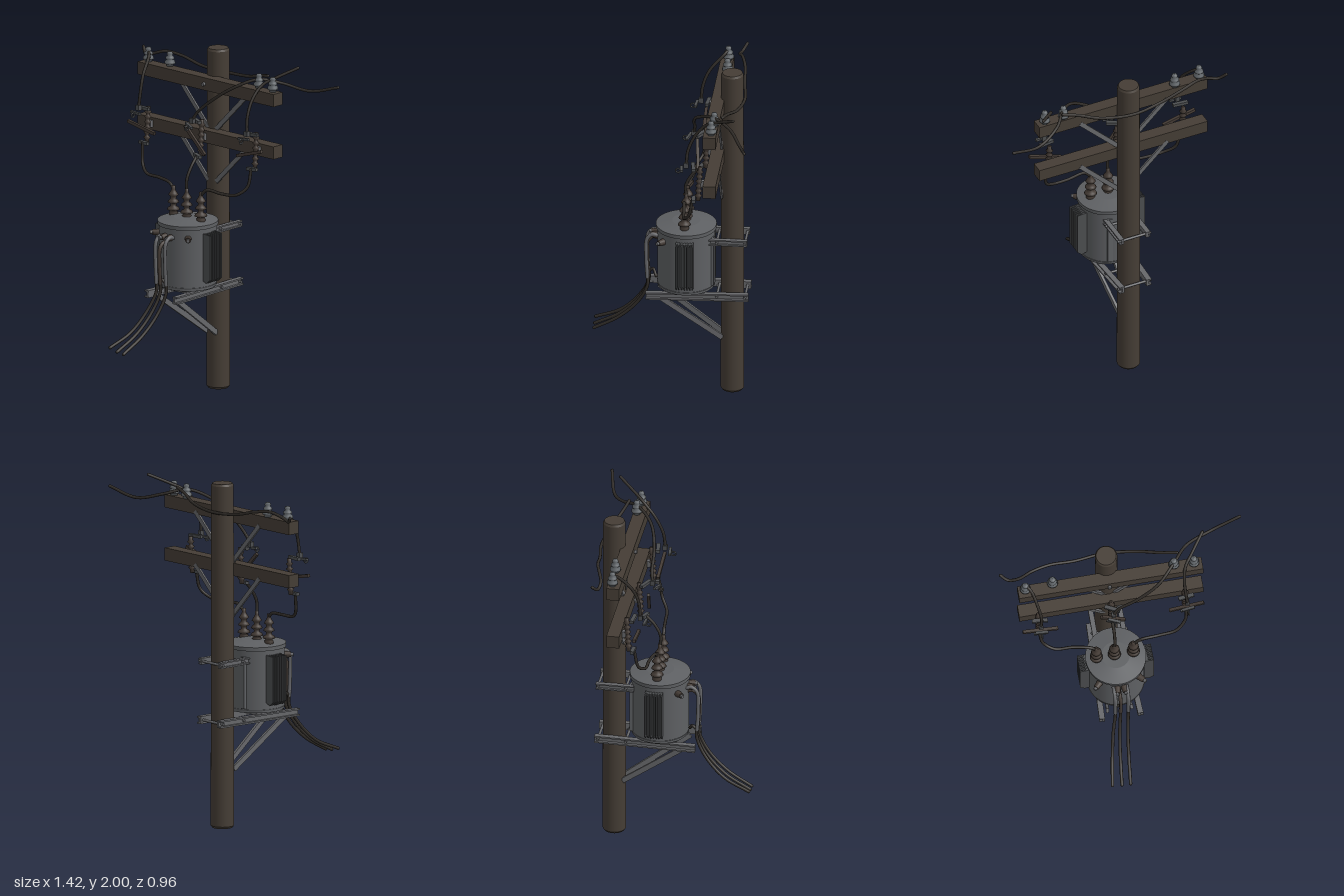
import * as THREE from 'three';

const mat = (name, color, side = THREE.FrontSide) => {
  const m = new THREE.MeshStandardMaterial({ color, side });
  m.name = name;
  return m;
};
const V = (p) => new THREE.Vector3(...p);

export function createModel() {
  const wood = mat('weathered wood', 0x453d35);
  const steel = mat('galvanised steel', 0x66676a);
  const tankGrey = mat('tank grey', 0x5e6063);
  const finGrey = mat('fin grey', 0x4c4e50);
  const porcelain = mat('grey porcelain', 0x62676b);
  const brown = mat('brown porcelain', 0x443b35);
  const cable = mat('cable', 0x302c28, THREE.DoubleSide);

  const root = new THREE.Group();
  root.name = 'utilityPole';
  const group = (name, x = 0, y = 0, z = 0, parent = root) => {
    const g = new THREE.Group();
    g.name = name;
    g.position.set(x, y, z);
    parent.add(g);
    return g;
  };
  const add = (name, geo, m, x = 0, y = 0, z = 0, parent = root) => {
    const mesh = new THREE.Mesh(geo, m);
    mesh.name = name;
    mesh.position.set(x, y, z);
    parent.add(mesh);
    return mesh;
  };
  const box = (name, w, h, d, m, x, y, z, parent) =>
    add(name, new THREE.BoxGeometry(w, h, d), m, x, y, z, parent);
  const cyl = (name, r1, r2, h, m, x, y, z, parent, seg = 16) =>
    add(name, new THREE.CylinderGeometry(r1, r2, h, seg), m, x, y, z, parent);
  const lathe = (name, pts, m, x, y, z, parent, seg = 20) =>
    add(name, new THREE.LatheGeometry(pts.map(p => new THREE.Vector2(...p)), seg), m, x, y, z, parent);
  // straight member between two points
  const bar = (name, a, b, w, h, m, parent = root) => {
    const A = V(a), B = V(b);
    const mesh = add(name, new THREE.BoxGeometry(w, h, A.distanceTo(B)), m, 0, 0, 0, parent);
    mesh.position.copy(A).add(B).multiplyScalar(0.5);
    mesh.lookAt(B);
    return mesh;
  };
  const wire = (name, pts, r = 0.007, m = cable, parent = root) => {
    const c = new THREE.CatmullRomCurve3(pts.map(V));
    add(name, new THREE.TubeGeometry(c, pts.length * 7, r, 8), m, 0, 0, 0, parent);
    for (const p of [pts[0], pts[pts.length - 1]])
      add(name + 'End', new THREE.SphereGeometry(r, 8, 6), m, ...p, parent);
  };

  const px = -0.095, pz = -0.325;

  // pole with chamfered ends
  cyl('pole', 0.064, 0.067, 1.97, wood, px, 0.9975, pz, root, 32);
  cyl('poleTop', 0.057, 0.064, 0.0125, wood, px, 1.98875 , pz, root, 32);
  cyl('poleFoot', 0.067, 0.058, 0.0125, wood, px, 0.00625, pz, root, 32);

  // crossarms, bolts and diagonal braces
  for (const y of [1.802, 1.494]) {
    box('crossarm', 1.06, 0.074, 0.074, wood, -0.085, y, -0.246);
    const bolt = cyl('crossarmBolt', 0.012, 0.012, 0.02, steel, px, y, -0.204, root, 6);
    bolt.rotation.x = Math.PI / 2;
    for (const s of [-1, 1])
      bar('crossarmBrace', [-0.087 + s * 0.275, y - 0.02, -0.279], [-0.087 + s * 0.03, y - 0.27, -0.268], 0.012, 0.026, steel);
  }

  // pin insulators on the upper arm
  for (const [x, z] of [[-0.573, -0.255], [-0.415, -0.265], [0.284, -0.26], [0.398, -0.253]]) {
    lathe('pinInsulator', [[0, 0], [0.02, 0], [0.02, 0.012], [0.031, 0.016], [0.03, 0.028], [0.019, 0.04],
      [0.026, 0.044], [0.024, 0.054], [0.014, 0.062], [0.018, 0.072], [0.013, 0.083], [0, 0.085]],
      porcelain, x, 1.838, z);
  }

  // fused cutouts on the lower arm
  for (const x of [-0.508, -0.09, 0.335]) {
    const c = group('fuseCutout', x, 0, 0);
    box('mountBracket', 0.026, 0.04, 0.035, steel, 0, 1.495, -0.205, c);
    const pts = [[0, 0], [0.013, 0]];
    for (let i = 0; i < 6; i++) {
      const y = 0.02 + i * 0.03;
      pts.push([0.012, y], [0.021, y + 0.01], [0.012, y + 0.018]);
    }
    pts.push([0.013, 0.21], [0, 0.21]);
    const ins = lathe('cutoutInsulator', pts, brown, 0, 1.39, -0.172, c, 12);
    ins.rotation.x = -0.06;
    bar('upperArm', [0, 1.595, -0.19], [0, 1.6, -0.1], 0.022, 0.018, finGrey, c);
    bar('lowerArm', [0, 1.4, -0.18], [0, 1.385, -0.115], 0.022, 0.018, finGrey, c);
    bar('fuseTube', [0, 1.59, -0.115], [0, 1.385, -0.14], 0.018, 0.018, brown, c);
    bar('contactHook', [0, 1.6, -0.11], [0, 1.565, -0.045], 0.016, 0.014, finGrey, c);
    const ring = add('pullRing', new THREE.TorusGeometry(0.013, 0.005, 6, 14), finGrey, 0, 1.572, -0.058, c);
    ring.rotation.y = Math.PI / 2;
    box('topClamp', 0.024, 0.03, 0.026, finGrey, 0, 1.608, -0.105, c);
  }

  // transformer tank with rim and domed lid
  const tx = -0.085, tz = -0.063;
  const tank = group('transformer', tx, 0, tz);
  cyl('tankBody', 0.164, 0.164, 0.36, tankGrey, 0, 0.84, 0, tank, 48);
  cyl('tankBase', 0.167, 0.16, 0.02, tankGrey, 0, 0.665, 0, tank, 48);
  cyl('lidRim', 0.173, 0.173, 0.022, tankGrey, 0, 1.026, 0, tank, 48);
  cyl('lidDome', 0.08, 0.171, 0.018, tankGrey, 0, 1.046, 0, tank, 48);

  // radiator fins on both sides
  for (const s of [-1, 1]) {
    const shape = new THREE.Shape();
    [[0.145, 0.715], [0.185, 0.7], [0.213, 0.725], [0.213, 0.985], [0.145, 0.99]]
      .forEach((p, i) => i ? shape.lineTo(s * p[0], p[1]) : shape.moveTo(s * p[0], p[1]));
    for (let i = 0; i < 7; i++)
      add('radiatorFin', new THREE.ExtrudeGeometry(shape, { depth: 0.007, bevelEnabled: false }),
        finGrey, 0, 0, -0.057 + i * 0.0155, tank);
    box('radiatorHeader', 0.03, 0.27, 0.1, finGrey, s * 0.165, 0.85, -0.007, tank);
  }

  // high-voltage bushings on the lid
  const bushX = [-0.197, -0.093, 0.017];
  for (const x of bushX) {
    const pts = [[0, 0], [0.026, 0], [0.026, 0.03]];
    for (let i = 0; i < 3; i++) {
      const y = 0.038 + i * 0.043;
      pts.push([0.018, y], [0.037 - i * 0.004, y + 0.008], [0.03 - i * 0.004, y + 0.02], [0.016, y + 0.028]);
    }
    pts.push([0.011, 0.165], [0.011, 0.185], [0, 0.187]);
    lathe('highVoltageBushing', pts, brown, x, 1.03, -0.062);
  }

  // low-voltage studs around the front of the tank
  for (const a of [-0.76, -0.12, 0.12, 0.76]) {
    const stud = group('lowVoltageStud', 0, 0.965, 0, tank);
    stud.rotation.y = a;
    cyl('studBody', 0.016, 0.02, 0.045, brown, 0, 0, 0.178, stud).rotation.x = Math.PI / 2;
    cyl('studCap', 0.011, 0.011, 0.02, steel, 0, 0, 0.205, stud, 6).rotation.x = Math.PI / 2;
  }

  // low-voltage leads: sheathed drop, then loose cable
  const drops = [[-0.125, -0.195, 0.365], [-0.095, -0.14, 0.35], [-0.05, -0.09, 0.345]];
  drops.forEach(([x, ex, ey], i) => {
    const mid = i === 1 ? 0.93 : 0.965;
    wire('leadSheath', [[x, mid, 0.09], [x, mid + 0.005, 0.13], [x, mid - 0.025, 0.158], [x, 0.82, 0.162], [x, 0.7, 0.156]],
      0.011, i === 1 ? brown : steel);
    wire('lowVoltageCable', [[x, 0.74, 0.158], [x, 0.65, 0.155], [x + (ex - x) * 0.3, 0.54, 0.21],
      [x + (ex - x) * 0.65, 0.43, 0.32], [ex, ey, 0.465]], 0.0095);
  });
  wire('cableLoop', [[-0.125, 0.7, 0.157], [-0.12, 0.72, 0.13], [-0.09, 0.69, 0.11]], 0.009);

  // platform arms, upper hangers and clamps either side of the pole
  for (const s of [-1, 1]) {
    const rear = -0.092 + s * 0.077, front = -0.09 + s * 0.103;
    bar('platformArm', [rear, 0.62, -0.425], [front, 0.62, 0.158], 0.014, 0.042, steel);
    bar('platformFlange', [rear + s * 0.008, 0.637, -0.425], [front + s * 0.008, 0.637, 0.158], 0.032, 0.009, steel);
    bar('platformFlange', [rear + s * 0.008, 0.603, -0.425], [front + s * 0.008, 0.603, 0.158], 0.032, 0.009, steel);
    bar('tankHanger', [rear, 0.96, -0.418], [rear, 0.96, -0.19], 0.014, 0.036, steel);
    bar('hangerFlange', [rear + s * 0.006, 0.974, -0.418], [rear + s * 0.006, 0.974, -0.2], 0.028, 0.008, steel);
    bar('hangerFlange', [rear + s * 0.006, 0.946, -0.418], [rear + s * 0.006, 0.946, -0.2], 0.028, 0.008, steel);
    bar('platformBrace', [-0.09 + s * 0.07, 0.605, 0.1], [px + s * 0.035, 0.335, -0.272], 0.016, 0.03, steel);
    box('tankLug', 0.03, 0.3, 0.05, tankGrey, -0.09 + s * 0.06, 0.83, -0.2);
  }
  for (const y of [0.62, 0.96]) for (const z of [-0.405, -0.245])
    cyl('clampBolt', 0.008, 0.008, 0.21, steel, -0.092, y, z, root, 8).rotation.z = Math.PI / 2;
  box('platformCross', 0.2, 0.02, 0.04, steel, -0.09, 0.648, -0.13);
  box('platformCross', 0.2, 0.02, 0.04, steel, -0.09, 0.648, 0.03);

  // leads from cutouts to bushings
  wire('leftPhaseLead', [[0.335, 1.39, -0.14], [0.325, 1.29, -0.12], [0.27, 1.24, -0.085],
    [0.17, 1.23, -0.075], [0.06, 1.235, -0.065], [0.02, 1.2, -0.062]], 0.009);
  wire('rightPhaseLead', [[-0.51, 1.39, -0.14], [-0.49, 1.28, -0.12], [-0.43, 1.24, -0.09],
    [-0.33, 1.235, -0.085], [-0.23, 1.225, -0.068], [-0.198, 1.2, -0.062]], 0.009);
  wire('middlePhaseLead', [[-0.09, 1.39, -0.14], [-0.088, 1.34, -0.095], [-0.09, 1.27, -0.06], [-0.093, 1.2, -0.062]], 0.009);

  // overhead conductors down to the cutouts
  wire('rightDrop', [[-0.575, 1.905, -0.26], [-0.545, 1.88, -0.23], [-0.515, 1.79, -0.15],
    [-0.503, 1.7, -0.115], [-0.508, 1.61, -0.105]], 0.009);
  wire('leftDrop', [[0.335, 1.61, -0.105], [0.33, 1.7, -0.115], [0.328, 1.8, -0.16], [0.345, 1.875, -0.225],
    [0.395, 1.915, -0.29], [0.47, 1.965, -0.385]], 0.009);
  wire('middleDrop', [[-0.09, 1.61, -0.105], [-0.06, 1.66, -0.115], [0.05, 1.75, -0.12], [0.18, 1.84, -0.16],
    [0.285, 1.89, -0.255], [0.37, 1.865, -0.355], [0.52, 1.83, -0.43], [0.7, 1.875, -0.473]], 0.009);
  wire('longConductor', [[-0.7, 1.885, -0.35], [-0.66, 1.853, -0.325], [-0.6, 1.868, -0.317], [-0.52, 1.892, -0.34],
    [-0.415, 1.88, -0.366], [-0.27, 1.845, -0.378], [-0.09, 1.835, -0.398], [0.1, 1.852, -0.37],
    [0.22, 1.885, -0.33], [0.31, 1.905, -0.308]], 0.009);

  return root;
}
